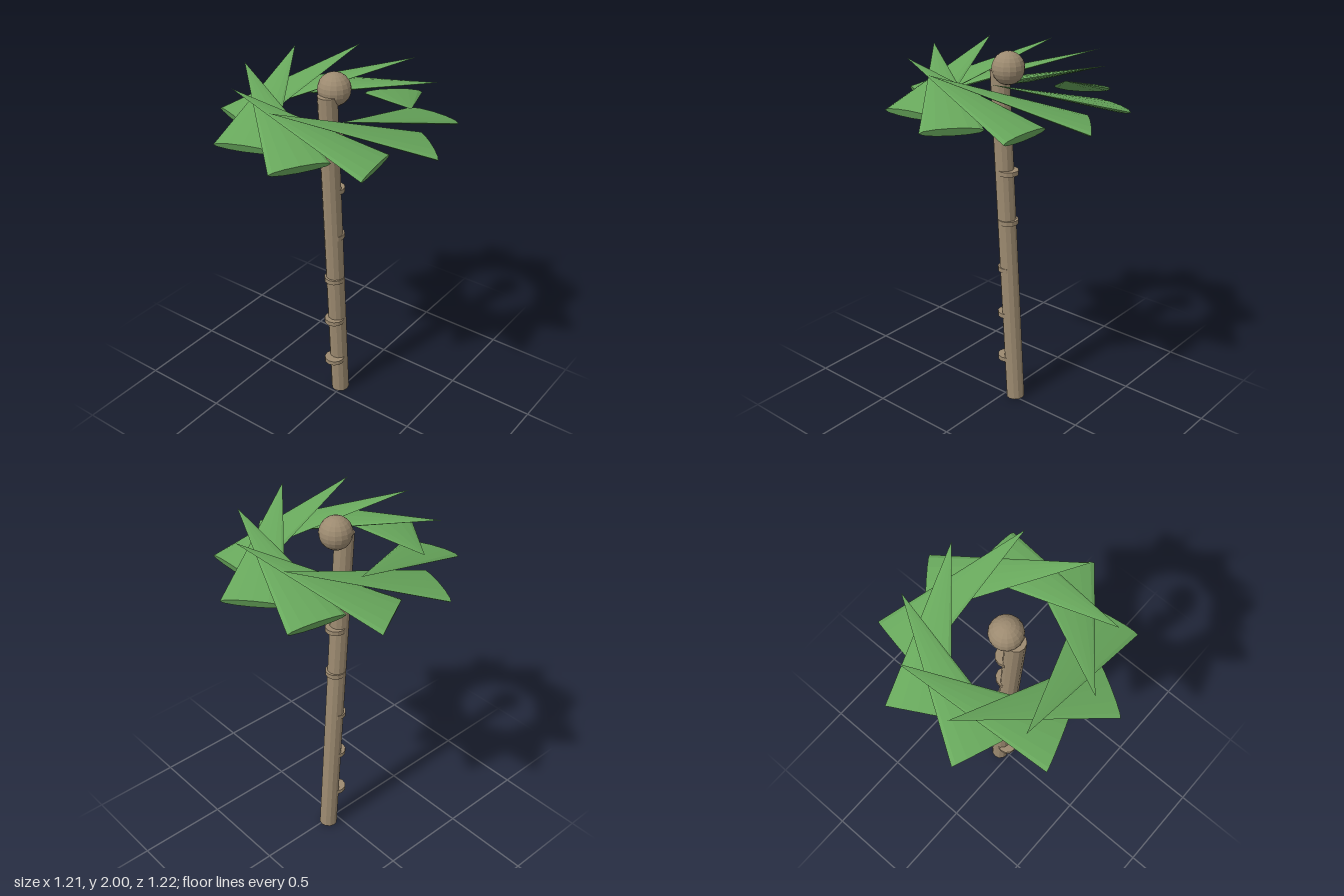
import * as THREE from 'three';

const bark = new THREE.MeshStandardMaterial({ color: 0x9c8a70, flatShading: true });
const leaf = new THREE.MeshStandardMaterial({ color: 0x68a85c, flatShading: true });

function add(parent, name, geometry, material, x = 0, y = 0, z = 0) {
  const mesh = new THREE.Mesh(geometry, material);
  mesh.name = name;
  mesh.position.set(x, y, z);
  parent.add(mesh);
  return mesh;
}

// Flattened cone lying along the line from its base centre to its tip
function frondGeometry(base, tip, halfWidth, halfThickness) {
  const along = tip.clone().sub(base);
  const length = along.length();
  along.normalize();
  const across = along.clone().cross(new THREE.Vector3(0, 1, 0)).normalize();
  const normal = across.clone().cross(along);
  const placement = new THREE.Matrix4().makeBasis(across, along, normal);
  placement.setPosition(base.clone().lerp(tip, 0.5));
  return new THREE.ConeGeometry(halfWidth, length, 12)
    .scale(1, 1, halfThickness / halfWidth)
    .applyMatrix4(placement);
}

export function createModel() {
  const palm = new THREE.Group();
  palm.name = 'palmTree';
  palm.position.set(-0.015, 0, -0.005);

  // Leaning trunk
  const trunk = add(palm, 'trunk', new THREE.CylinderGeometry(0.051, 0.051, 1.9, 12), bark, 0, 0.951, 0);
  trunk.rotation.x = 0.06;

  // Level rings stacked on the vertical axis
  const ringGeometry = new THREE.CylinderGeometry(0.056, 0.056, 0.025, 12);
  for (let i = 0; i < 6; i++) {
    add(palm, 'trunkRing', ringGeometry, bark, 0, 0.246 + i * 0.279, 0);
  }

  // Round crown
  add(palm, 'crown', new THREE.SphereGeometry(0.085, 16, 12), bark, 0, 1.915, 0);

  // Pinwheel of fronds
  const count = 9;
  const frond = frondGeometry(
    new THREE.Vector3(0.435, 1.724, 0.265),
    new THREE.Vector3(-0.317, 1.968, 0.39),
    0.155, 0.022
  );
  for (let i = 0; i < count; i++) {
    add(palm, 'frond', frond, leaf).rotation.y = (i * 2 * Math.PI) / count;
  }

  const model = new THREE.Group();
  model.name = 'palmModel';
  model.add(palm);
  return model;
}
